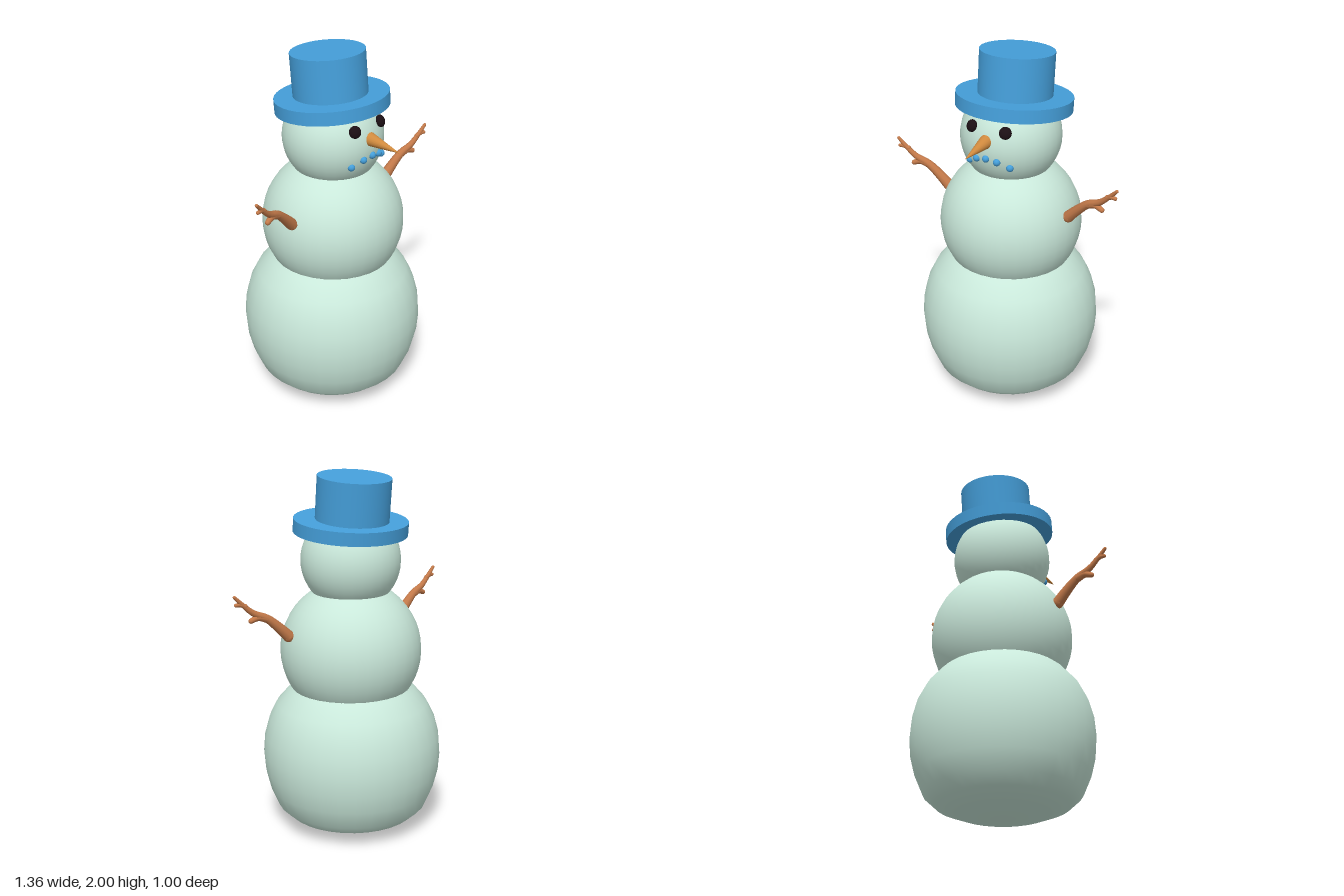
import * as THREE from 'three';

const material = (color) => new THREE.MeshStandardMaterial({ color });

function addMesh(parent, name, geometry, mat, x = 0, y = 0, z = 0) {
  const mesh = new THREE.Mesh(geometry, mat);
  mesh.name = name;
  mesh.position.set(x, y, z);
  parent.add(mesh);
  return mesh;
}

// Tube through the points that narrows from r0 to r1, with rounded ends
function addTwig(parent, name, points, r0, r1, mat) {
  const path = points.map((p) => new THREE.Vector3(...p));
  const curve = new THREE.CatmullRomCurve3(path);
  const steps = 14, sides = 10;
  const geometry = new THREE.TubeGeometry(curve, steps, 1, sides);
  const pos = geometry.attributes.position;
  const v = new THREE.Vector3();
  for (let i = 0; i <= steps; i++) {
    const centre = curve.getPointAt(i / steps);
    const r = THREE.MathUtils.lerp(r0, r1, i / steps);
    for (let j = 0; j <= sides; j++) {
      const k = i * (sides + 1) + j;
      v.fromBufferAttribute(pos, k).sub(centre).multiplyScalar(r).add(centre);
      pos.setXYZ(k, v.x, v.y, v.z);
    }
  }
  addMesh(parent, name, geometry, mat);
  [[path[0], r0], [path[path.length - 1], r1]].forEach(([p, r]) =>
    addMesh(parent, name + 'End', new THREE.SphereGeometry(r, 10, 8), mat, p.x, p.y, p.z));
}

export function createModel() {
  const model = new THREE.Group();
  model.name = 'snowman';
  const snow = material(0xc9e8da);
  const blue = material(0x459fda);
  const wood = material(0xc47a4a);
  const carrot = material(0xd08a3e);
  const coal = material(0x1c0f14);

  // Lower ball, settled flat at the bottom
  const profile = [
    [0, 0.005], [0.12, 0.013], [0.25, 0.037], [0.36, 0.08], [0.42, 0.135], [0.465, 0.24],
    [0.49, 0.34], [0.498, 0.44], [0.49, 0.54], [0.463, 0.64], [0.42, 0.725],
    [0.35, 0.805], [0.26, 0.875], [0.14, 0.93], [0, 0.95],
  ].map(([r, y]) => new THREE.Vector2(r, y));
  addMesh(model, 'lowerBall', new THREE.LatheGeometry(profile, 32), snow, -0.01, 0, 0);

  // Middle ball and head
  addMesh(model, 'middleBall', new THREE.SphereGeometry(0.39, 32, 24), snow, -0.003, 1.03, 0);
  addMesh(model, 'head', new THREE.SphereGeometry(0.273, 32, 24), snow, -0.002, 1.53, 0);

  // Top hat, tipped backwards
  const hat = new THREE.Group();
  hat.name = 'hat';
  hat.position.set(0.008, 1.718, -0.015);
  hat.rotation.x = -0.095;
  model.add(hat);
  const brim = addMesh(hat, 'brim', new THREE.CylinderGeometry(0.317, 0.317, 0.072, 40), blue);
  brim.scale.z = 0.94;
  addMesh(hat, 'crown', new THREE.CylinderGeometry(0.2, 0.2, 0.25, 40), blue, 0, 0.143, -0.008);

  // Carrot nose
  const nose = addMesh(model, 'nose', new THREE.ConeGeometry(0.04, 0.22, 20), carrot, -0.003, 1.568, 0.35);
  nose.rotation.x = Math.PI / 2 + 0.1;

  // Coal eyes, flattened against the face
  for (const side of [-1, 1]) {
    const eye = addMesh(model, side > 0 ? 'leftEye' : 'rightEye',
      new THREE.SphereGeometry(0.033, 18, 12), coal, 0.002 + side * 0.1, 1.64, 0.238);
    eye.scale.z = 0.7;
    eye.rotation.set(-0.4, side * 0.4, 0, 'YXZ');
  }

  // Mouth of five small beads
  for (let i = -2; i <= 2; i++) {
    const x = 0.003 + i * 0.06;
    const y = 1.488 - 0.0105 * i * i;
    const z = Math.sqrt(0.273 ** 2 - x * x - (y - 1.53) ** 2);
    addMesh(model, 'mouthBead', new THREE.SphereGeometry(0.02, 12, 10), blue, x, y, z);
  }

  // Branch arms
  for (const side of [-1, 1]) {
    const arm = new THREE.Group();
    arm.name = side > 0 ? 'leftArm' : 'rightArm';
    const at = (pts) => pts.map(([x, y, z]) => [side * x, y, z]);
    addTwig(arm, 'branch', at([
      [0.375, 1.15, 0.047], [0.43, 1.205, 0.055], [0.5, 1.265, 0.067],
      [0.57, 1.298, 0.08], [0.625, 1.345, 0.09], [0.672, 1.393, 0.098],
    ]), 0.032, 0.009, wood);
    addTwig(arm, 'lowerTwig', at([
      [0.5, 1.262, 0.067], [0.545, 1.272, 0.075], [0.585, 1.258, 0.083],
    ]), 0.022, 0.014, wood);
    addTwig(arm, 'tipTwig', at([
      [0.615, 1.34, 0.088], [0.64, 1.35, 0.093], [0.665, 1.35, 0.098],
    ]), 0.014, 0.01, wood);
    model.add(arm);
  }

  return model;
}
